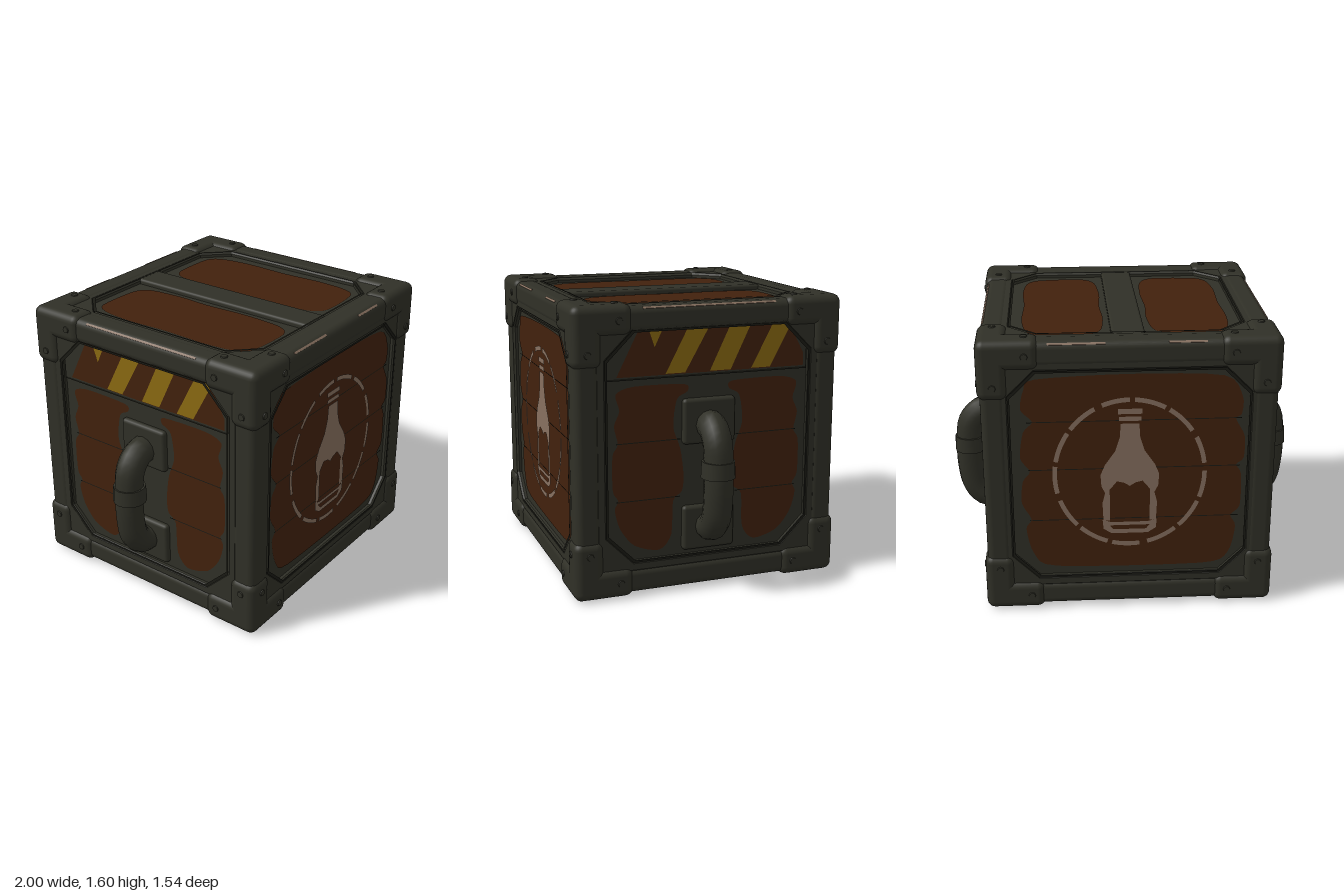
import * as THREE from 'three';
import { RoundedBoxGeometry } from 'three/addons/geometries/RoundedBoxGeometry.js';

const mat = (name, color) => {
  const m = new THREE.MeshStandardMaterial({ color });
  m.name = name;
  return m;
};

// Half sizes of the crate and height of its middle
const HX = 0.79, HY = 0.78, HZ = 0.75, CY = 0.8;

export function createModel() {
  const metal = mat('grey green metal', 0x303027);
  const rust = mat('rust brown paint', 0x42210d);
  const yellow = mat('hazard yellow', 0x8c6a11);
  const pale = mat('pale stencil paint', 0x87705f);
  const dark = mat('dark seam', 0x1a1a14);

  const crate = new THREE.Group();
  crate.name = 'crate';

  const add = (parent, name, geo, material, x = 0, y = 0, z = 0) => {
    const m = new THREE.Mesh(geo, material);
    m.name = name;
    m.position.set(x, y, z);
    parent.add(m);
    return m;
  };
  const V = (pts) => pts.map(([x, y]) => new THREE.Vector2(x, y));
  const mirror = (pts) => pts.map(([x, y]) => [-x, y]).reverse();

  // Flat painted plates: straight-sided or with a flowing outline
  const plate = (parent, name, pts, material, z) =>
    add(parent, name, new THREE.ShapeGeometry(new THREE.Shape(V(pts))), material, 0, 0, z)
      .material.side = THREE.DoubleSide;
  const blob = (parent, name, pts, material, z) => {
    const curve = new THREE.CatmullRomCurve3(
      pts.map(([x, y]) => new THREE.Vector3(x, y, 0)), true, 'catmullrom', 0.4);
    plate(parent, name, curve.getPoints(pts.length * 4).slice(0, -1).map((p) => [p.x, p.y]), material, z);
  };

  // Core of recessed panels
  const DEPTH = 0.035;
  add(crate, 'core', new THREE.BoxGeometry(2 * (HX - DEPTH), 2 * (HY - DEPTH), 2 * (HZ - DEPTH)), metal, 0, CY, 0);

  // Twelve edge beams
  const half = [HX, HY, HZ], S = 0.14;
  for (let axis = 0; axis < 3; axis++) {
    const size = [S, S, S];
    size[axis] = 2 * half[axis] - 0.1;
    const b = (axis + 1) % 3, c = (axis + 2) % 3;
    for (const i of [-1, 1]) for (const j of [-1, 1]) {
      const p = [0, 0, 0];
      p[b] = i * (half[b] - S / 2);
      p[c] = j * (half[c] - S / 2);
      add(crate, 'edgeBeam', new RoundedBoxGeometry(...size, 3, 0.04), metal, p[0], p[1] + CY, p[2]);
    }
  }

  // Corner caps: three short sleeves meeting at each corner
  const CS = 0.165, OUT = 0.014;
  for (const sx of [-1, 1]) for (const sy of [-1, 1]) for (const sz of [-1, 1]) {
    const s = [sx, sy, sz], cap = new THREE.Group();
    cap.name = 'cornerCap';
    crate.add(cap);
    for (let axis = 0; axis < 3; axis++) {
      const size = [CS, CS, CS];
      size[axis] = 0.33;
      const p = s.map((k, i) => k * (half[i] + OUT - size[i] / 2));
      add(cap, 'sleeve', new RoundedBoxGeometry(...size, 3, 0.045), metal, p[0], p[1] + CY, p[2]);
      // Two small bolts on each outer face of the cap
      for (const other of [1, 2]) {
        const q = s.map((k, i) => k * (half[i] - 0.07));
        q[axis] = s[axis] * (half[axis] + OUT);
        const o = (axis + other) % 3;
        q[o] = s[o] * (half[o] - 0.24);
        const bolt = add(cap, 'bolt', new THREE.CylinderGeometry(0.018, 0.022, 0.012, 8), metal, q[0], q[1] + CY, q[2]);
        if (axis === 0) bolt.rotation.z = -s[0] * Math.PI / 2;
        if (axis === 1 && sy < 0) bolt.rotation.x = Math.PI;
        if (axis === 2) bolt.rotation.x = s[2] * Math.PI / 2;
      }
    }
  }

  // Chamfered opening, used for the frame and its dark seam
  const octagon = (a, b, c, cy) => [
    [a, cy - b + c], [a, cy + b - c], [a - c, cy + b], [c - a, cy + b],
    [-a, cy + b - c], [-a, cy - b + c], [c - a, cy - b], [a - c, cy - b]];

  // One face group, looking along its local +z
  const makeFace = (name, depth, a, b, c, cy) => {
    const g = new THREE.Group();
    g.name = name;
    crate.add(g);
    const ring = (outer, inner) => {
      const shape = new THREE.Shape(V(outer));
      shape.holes.push(new THREE.Path(V(inner).reverse()));
      return shape;
    };
    const A = a + 0.06, B = b + 0.06, o = octagon(a, b, c, cy);
    const frame = ring([[-A, cy - B], [A, cy - B], [A, cy + B], [-A, cy + B]], o);
    add(g, 'faceFrame', new THREE.ExtrudeGeometry(frame, {
      depth: DEPTH - 0.018, bevelThickness: 0.014, bevelSize: 0.012, bevelOffset: -0.012, bevelSegments: 1,
    }), metal, 0, 0, depth - DEPTH);
    add(g, 'panelSeam', new THREE.ShapeGeometry(ring(octagon(a + 0.006, b + 0.006, c, cy), octagon(a - 0.006, b - 0.006, c, cy))),
      dark, 0, 0, depth - 0.002);
    return g;
  };

  // Front and back: painted boards with a bottle stencil
  const boards = [[-0.5, 1.37], [0, 1.39], [0.5, 1.37], [0.6, 1.25], [0.6, 1.15], [0.57, 1.12], [0.62, 1.02],
    [0.62, 0.89], [0.58, 0.85], [0.61, 0.79], [0.61, 0.6], [0.56, 0.54], [0.59, 0.47], [0.55, 0.3], [0.4, 0.24],
    [-0.4, 0.25], [-0.53, 0.33], [-0.57, 0.49], [-0.54, 0.55], [-0.59, 0.65], [-0.58, 0.78], [-0.54, 0.84],
    [-0.59, 0.92], [-0.57, 1.07], [-0.52, 1.13], [-0.58, 1.2], [-0.56, 1.31]];
  const bottleSide = [[0.05, 1.11], [0.055, 1.03], [0.08, 0.95], [0.135, 0.87], [0.16, 0.81], [0.155, 0.74],
    [0.135, 0.7], [0.15, 0.64], [0.145, 0.53], [0.11, 0.53], [0.11, 0.72], [0.07, 0.77], [0.03, 0.76]];
  for (const [name, turn] of [['front', 0], ['back', Math.PI]]) {
    const g = makeFace(name, HZ, 0.64, 0.61, 0.14, 0.81);
    g.rotation.y = turn;
    const z = HZ - DEPTH + 0.004;
    blob(g, 'paintedBoards', boards, rust, z);
    for (const y of [0.54, 0.845, 1.125])
      plate(g, 'boardSeam', [[-0.55, y], [0.6, y], [0.6, y + 0.005], [-0.55, y + 0.005]], dark, z + 0.003);
    const stencil = new THREE.Group();
    stencil.name = 'bottleStencil';
    g.add(stencil);
    const zs = z + 0.006, dashes = 13;
    for (let i = 0; i < dashes; i++) {
      const step = 2 * Math.PI / dashes;
      const dash = add(stencil, 'ringDash',
        new THREE.RingGeometry(0.395, 0.42, 8, 1, i * step + 0.12, step * (i % 3 ? 0.87 : 0.78)), pale, 0, 0.815, zs);
      dash.scale.y = 1.06;
    }
    plate(stencil, 'bottleBody', [...bottleSide, [0, 0.74], ...mirror(bottleSide)], pale, zs);
    for (const [y0, y1, w] of [[1.165, 1.195, 0.065], [1.125, 1.15, 0.06]])
      plate(stencil, 'bottleCap', [[-w, y0], [w, y0], [w, y1], [-w, y1]], pale, zs);
    const base = new THREE.Shape(V([[-0.1, 0.45], [0.1, 0.45], [0.145, 0.48], [0.15, 0.535], [0.1, 0.52],
      [-0.1, 0.52], [-0.15, 0.535], [-0.145, 0.48]]));
    base.holes.push(new THREE.Path(V([[-0.09, 0.475], [-0.11, 0.5], [0.11, 0.5], [0.09, 0.475]])));
    add(stencil, 'bottleBase', new THREE.ShapeGeometry(base), pale, 0, 0, zs);
  }

  // Sides: hazard strip, painted boards and a handle
  const sidePatch = [[-0.52, 1.12], [-0.42, 1.155], [-0.14, 1.15], [-0.12, 1.11], [-0.18, 1.07], [-0.2, 0.92],
    [-0.16, 0.8], [-0.14, 0.65], [-0.15, 0.56], [-0.2, 0.51], [-0.21, 0.32], [-0.28, 0.24], [-0.42, 0.28],
    [-0.5, 0.38], [-0.53, 0.49], [-0.51, 0.54], [-0.54, 0.6], [-0.54, 0.79], [-0.51, 0.85], [-0.53, 0.95], [-0.5, 1.03]];
  const stripes = [[[-0.31, 1.36], [-0.27, 1.445], [-0.34, 1.445]],
    [[-0.25, 1.215], [-0.14, 1.215], [-0.01, 1.445], [-0.13, 1.445]],
    [[0.0, 1.215], [0.12, 1.215], [0.23, 1.445], [0.11, 1.445]],
    [[0.24, 1.215], [0.35, 1.215], [0.46, 1.42], [0.45, 1.445], [0.36, 1.445]]];
  const path = new THREE.CatmullRomCurve3([[0.92, 0.72], [0.92, 0.82], [0.85, 0.89], [0.73, 0.91], [0.55, 0.91],
    [0.43, 0.885], [0.365, 0.825], [0.36, 0.72]].map(([y, z]) => new THREE.Vector3(0, y, z)));
  for (const [name, turn] of [['rightSide', Math.PI / 2], ['leftSide', -Math.PI / 2]]) {
    const g = makeFace(name, HX, 0.58, 0.625, 0.15, 0.825);
    g.rotation.y = turn;
    const z = HX - DEPTH;
    for (const pts of [sidePatch, mirror(sidePatch)]) blob(g, 'paintedBoards', pts, rust, z + 0.004);
    for (const y of [0.53, 0.85]) for (const s of [-1, 1])
      plate(g, 'boardSeam', [[s * 0.52, y], [s * 0.16, y], [s * 0.16, y + 0.005], [s * 0.52, y + 0.005]], dark, z + 0.007);
    add(g, 'hazardBoard', new THREE.BoxGeometry(1.14, 0.25, 0.03), metal, 0, 1.325, z);
    plate(g, 'hazardLip', [[-0.57, 1.193], [0.57, 1.193], [0.57, 1.203], [-0.57, 1.203]], dark, z + 0.018);
    plate(g, 'hazardPaint', [[-0.52, 1.21], [0.55, 1.21], [0.55, 1.28], [0.46, 1.448], [-0.4, 1.448]], rust, z + 0.018);
    for (const pts of stripes) plate(g, 'hazardStripe', pts, yellow, z + 0.021);
    for (const y of [0.945, 0.35])
      add(g, 'handlePlate', new RoundedBoxGeometry(0.3, 0.25, 0.06, 2, 0.02), metal, 0, y, z);
    add(g, 'handle', new THREE.TubeGeometry(path, 28, 0.08, 12), metal);
    add(g, 'handleCollar', new THREE.CylinderGeometry(0.09, 0.094, 0.09, 14), metal, 0, 0.71, 0.906);
  }

  // Top and bottom: two painted strips beside a centre bar
  const topPatch = [[0.14, 0.46], [0.22, 0.53], [0.48, 0.53], [0.55, 0.44], [0.57, 0.25], [0.56, 0], [0.57, -0.25],
    [0.55, -0.44], [0.48, -0.52], [0.22, -0.53], [0.14, -0.44], [0.12, -0.2], [0.13, 0.05], [0.12, 0.25]];
  for (const [name, s] of [['top', 1], ['bottom', -1]]) {
    const g = makeFace(name, HY, 0.63, 0.59, 0.14, 0);
    g.position.y = CY;
    g.rotation.x = -s * Math.PI / 2;
    const z = HY - DEPTH;
    for (const pts of [topPatch, mirror(topPatch)]) blob(g, 'paintedStrip', pts, rust, z + 0.004);
    add(g, 'centreBar', new RoundedBoxGeometry(0.18, 1.2, 0.06, 2, 0.015), metal, 0, 0, z);
  }

  // Bare scrapes along the rounded edges
  const inset = 0.0115;
  const scrape = (len, x, y, z, alongZ) => {
    const m = add(crate, 'edgeScrape', new THREE.BoxGeometry(alongZ ? 0.012 : len, 0.005, alongZ ? len : 0.012), pale, x, y, z);
    if (alongZ) m.rotation.z = -Math.sign(x) * Math.PI / 4;
    else m.rotation.x = Math.sign(z) * Math.PI / 4;
  };
  const ye = CY + HY - inset;
  for (const s of [-1, 1]) {
    scrape(0.75, s * (HX - inset), ye, 0, true);
    scrape(0.3, -s * 0.28, ye, s * (HZ - inset), false);
    scrape(0.2, s * 0.3, ye, s * (HZ - inset), false);
  }
  return crate;
}
